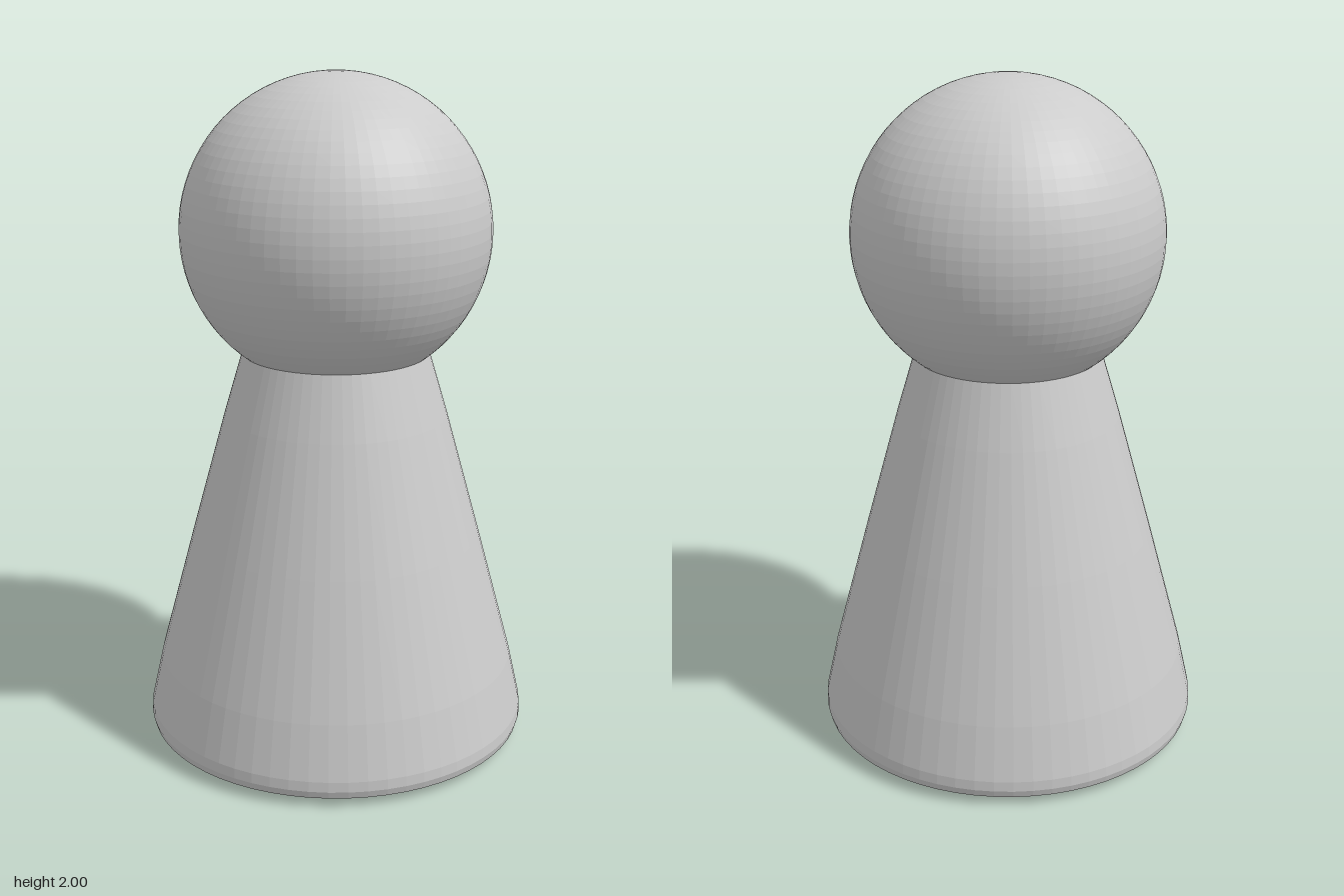
import * as THREE from 'three';

export function createModel() {
  const group = new THREE.Group();
  const material = new THREE.MeshStandardMaterial({ color: 0xcccccc, flatShading: true });

  // Tapered body with a bevelled, slightly domed base, closed inside the head
  const profile = [
    [0, 0], [0.3, 0.005], [0.545, 0.015], [0.572, 0.028], [0.578, 0.05], [0.576, 0.08],
    [0.54, 0.24], [0.435, 0.63], [0.333, 1.0], [0.277, 1.19], [0, 1.19],
  ].map(([r, y]) => new THREE.Vector2(r, y));
  const body = new THREE.Mesh(new THREE.LatheGeometry(profile, 64), material);
  body.name = 'body';

  // Round head sunk onto the neck
  const head = new THREE.Mesh(new THREE.SphereGeometry(0.454, 64, 40), material);
  head.name = 'head';
  head.position.y = 1.546;

  group.add(body, head);
  return group;
}
